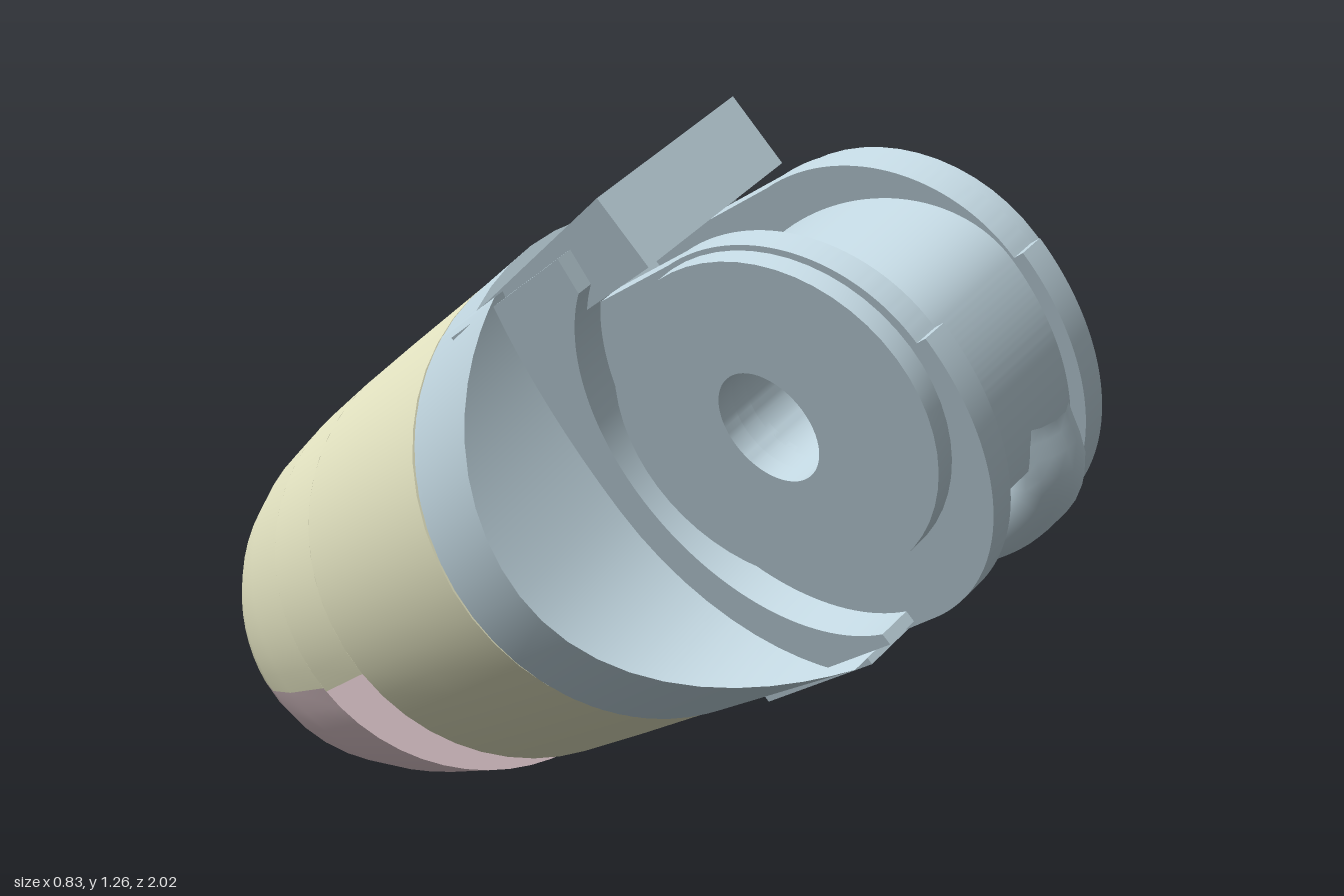
import * as THREE from 'three';
import { toCreasedNormals } from 'three/addons/utils/BufferGeometryUtils.js';

const mat = (name, color) => {
  const m = new THREE.MeshStandardMaterial({ color });
  m.name = name;
  return m;
};

// Closed solid through equal-length loops of points, capped at both ends
function loft(loops) {
  const n = loops[0].length, last = (loops.length - 1) * n, index = [];
  for (let i = 0; i < loops.length - 1; i++)
    for (let j = 0; j < n; j++) {
      const a = i * n + j, b = i * n + ((j + 1) % n);
      index.push(a, b, b + n, a, b + n, a + n);
    }
  for (let j = 1; j < n - 1; j++) {
    index.push(0, j + 1, j);
    index.push(last, last + j, last + j + 1);
  }
  const g = new THREE.BufferGeometry();
  g.setAttribute('position', new THREE.Float32BufferAttribute(loops.flat(2), 3));
  g.setIndex(index);
  return toCreasedNormals(g, 0.6);
}

// Profile drawn as (along the axis, up), extruded sideways from x0 to x1
function slab(shape, x0, x1) {
  const g = new THREE.ExtrudeGeometry(shape, { depth: x1 - x0, bevelEnabled: false, curveSegments: 28 });
  g.rotateY(-Math.PI / 2).translate(x1, 0, 0);
  return toCreasedNormals(g, 0.5);
}

// Box from minimum and maximum corners
function block(x0, x1, y0, y1, z0, z1) {
  return new THREE.BoxGeometry(x1 - x0, y1 - y0, z1 - z0)
    .translate((x0 + x1) / 2, (y0 + y1) / 2, (z0 + z1) / 2);
}

// One shell row [z, radius, vertical offset], from angle t0 to t1, growing wider than tall towards the tip
function shellRow([z, r, oy], t0, t1, n) {
  const f = Math.max(0, (-z - 0.64) / 0.48);
  const wide = 0.015 - 0.045 * z + 0.17 * f * f, square = 0.05 * Math.min(1, f);
  return Array.from({ length: n }, (_, j) => {
    const t = t0 + (t1 - t0) * j / (n - 1), level = t + Math.PI / 6;
    const k = r * (1 + wide * Math.cos(level) ** 2 + square * Math.sin(2 * level) ** 2);
    return [k * Math.cos(t), k * Math.sin(t) + oy, z];
  });
}

export function createModel() {
  const blue = mat('pale blue', 0xc0d5df);
  const yellow = mat('pale yellow', 0xe3e3c1);
  const pink = mat('pale pink', 0xe4ccd1);

  const model = new THREE.Group();
  const finger = new THREE.Group();   // z runs along the finger, x along the hinge pin
  finger.name = 'fingertip';
  finger.position.set(0, 0.64, 0.08);
  finger.rotation.set(-0.395, 0, Math.PI / 6);
  model.add(finger);

  const add = (name, geometry, material, parent = finger) => {
    const m = new THREE.Mesh(geometry, material);
    m.name = name;
    parent.add(m);
    return m;
  };

  // Shell rows; the seam between shell and pad climbs towards the tip, mostly on one side
  const tip = [[-1.117, 0.03, 0.07], [-1.109, 0.105, 0.06], [-1.088, 0.172, 0.045], [-1.05, 0.234, 0.02],
    [-0.99, 0.282, 0.005], [-0.91, 0.32, 0], [-0.8, 0.352, 0], [-0.64, 0.376, 0]];
  const rear = [[-0.46, 0.385, 0], [-0.25, 0.392, 0], [0, 0.398, 0]];
  const seam = ([z, r, oy]) => Math.asin(Math.min(0.85, (0.03 + 0.4 * (-0.64 - z) - oy) / r));
  const farSeam = (row) => Math.PI - 0.25 * seam(row);
  add('upperShell', loft(tip.map((row) => shellRow(row, seam(row), farSeam(row), 29))), yellow);
  add('tipPad', loft(tip.map((row) => shellRow(row, farSeam(row), 2 * Math.PI + seam(row), 29))), pink);
  add('slotCore', loft([tip[7], rear[0]].map((row) => shellRow(row, 0, Math.PI, 29))), yellow);
  add('rearShell', loft(rear.map((row) => shellRow(row, 0, 2 * Math.PI, 49).slice(0, 48))), yellow);

  // Hinge section
  const hinge = new THREE.Group();
  hinge.name = 'hingeSection';
  finger.add(hinge);
  const H = 0.6;   // hinge pin position along the finger

  add('collar', new THREE.CylinderGeometry(0.405, 0.4, 0.15, 48).rotateX(Math.PI / 2).translate(0, 0, 0.075), blue, hinge);
  add('core', block(-0.13, 0.13, -0.37, 0.37, 0.1, 0.27), blue, hinge);

  // Cheeks hollowed around the hinge: circular below, flatter above
  const cheekRows = (up) => Array.from({ length: 25 }, (_, i) => 0.375 * Math.sin((i / 12 - 1) * Math.PI / 2)).map((y) => {
    const c = y * up > 0 ? 0.6 * y : y;
    const front = H - Math.sqrt(0.41 ** 2 - c * c);
    const xBack = Math.sqrt(0.4 ** 2 - y * y), xFront = Math.sqrt(0.415 ** 2 - y * y);
    return [[0.12, y, 0], [0.12, y, front], [xFront, y, front], [xBack, y, 0]];
  });

  // Side plate, raised boss and central drum, all pierced for the pin
  const pierce = (shape) => {
    shape.holes.push(new THREE.Path().absarc(H, 0, 0.09, 0, Math.PI * 2, true));
    return shape;
  };
  const plate = new THREE.Shape();
  plate.moveTo(0.1, -0.37);
  plate.lineTo(H, -0.36);
  plate.absellipse(H, 0, 0.36, 0.36, -Math.PI / 2, 0, false);
  plate.absellipse(H, 0, 0.34, 0.265, 0, Math.PI / 2, false);
  plate.lineTo(0.36, 0.28);
  plate.lineTo(0.25, 0.37);
  plate.lineTo(0.1, 0.37);
  pierce(plate);
  const boss = pierce(new THREE.Shape().absellipse(H, 0, 0.325, 0.258, 0, Math.PI * 2, false));
  const drum = new THREE.Shape();
  drum.absarc(H, 0, 0.335, -0.85, 0, false);
  drum.absellipse(H, 0, 0.335, 0.2, 0, Math.PI, false);
  drum.lineTo(0.265, -0.24);
  add('drum', slab(pierce(drum), -0.1, 0.1), blue, hinge);

  // C-shaped guard rim wrapping behind each boss
  const rim = new THREE.Shape();
  rim.moveTo(0.1, -0.354);
  rim.lineTo(0.56, -0.354);
  rim.absarc(H, 0, 0.338, -1.69, 2.0, true);
  rim.lineTo(0.47, 0.365);
  rim.lineTo(0.1, 0.365);

  for (const side of [1, -1]) {
    const label = side > 0 ? 'left' : 'right';
    const span = (a, b) => [Math.min(side * a, side * b), Math.max(side * a, side * b)];
    const cheek = add(label + 'Cheek', loft(cheekRows(side)), blue, hinge);
    if (side < 0) cheek.rotation.z = Math.PI;
    add(label + 'Plate', slab(plate, ...span(0.09, 0.13)), blue, hinge);
    add(label + 'Boss', slab(boss, ...span(0.13, 0.16)), blue, hinge);
    add(label + 'GuardRim', slab(rim, ...span(0.11, 0.187)), blue, hinge);
  }

  // Top stop bar, rising to the front, with a small cord hole
  const bar = new THREE.Shape();
  bar.moveTo(-0.16, -0.6);
  bar.lineTo(0.14, -0.6);
  bar.lineTo(0.14, -0.1);
  bar.lineTo(-0.16, -0.1);
  bar.holes.push(new THREE.Path().absarc(-0.01, -0.51, 0.026, 0, Math.PI * 2, true));
  const barGeo = new THREE.ExtrudeGeometry(bar, { depth: 0.12, bevelEnabled: false })
    .rotateX(-Math.PI / 2).translate(0, 0.28, 0);
  const p = barGeo.attributes.position;
  for (let i = 0; i < p.count; i++)
    if (p.getY(i) > 0.35) p.setY(i, 0.4 - 0.06 * (H - p.getZ(i)));
  barGeo.computeVertexNormals();
  add('stopBar', barGeo, blue, hinge);

  // Floor under the drum and the cord guide curling out of it
  add('lowerFloor', block(-0.125, 0.125, -0.395, -0.33, 0.1, 0.4), blue, hinge);
  const guide = new THREE.CatmullRomCurve3([[0.04, -0.19, 0.84], [0.04, -0.27, 0.8], [0.04, -0.31, 0.68],
    [0.04, -0.31, 0.5], [0.04, -0.3, 0.3]].map((q) => new THREE.Vector3(...q)));
  add('cordGuide', new THREE.TubeGeometry(guide, 24, 0.052, 14), blue, hinge);

  return model;
}
